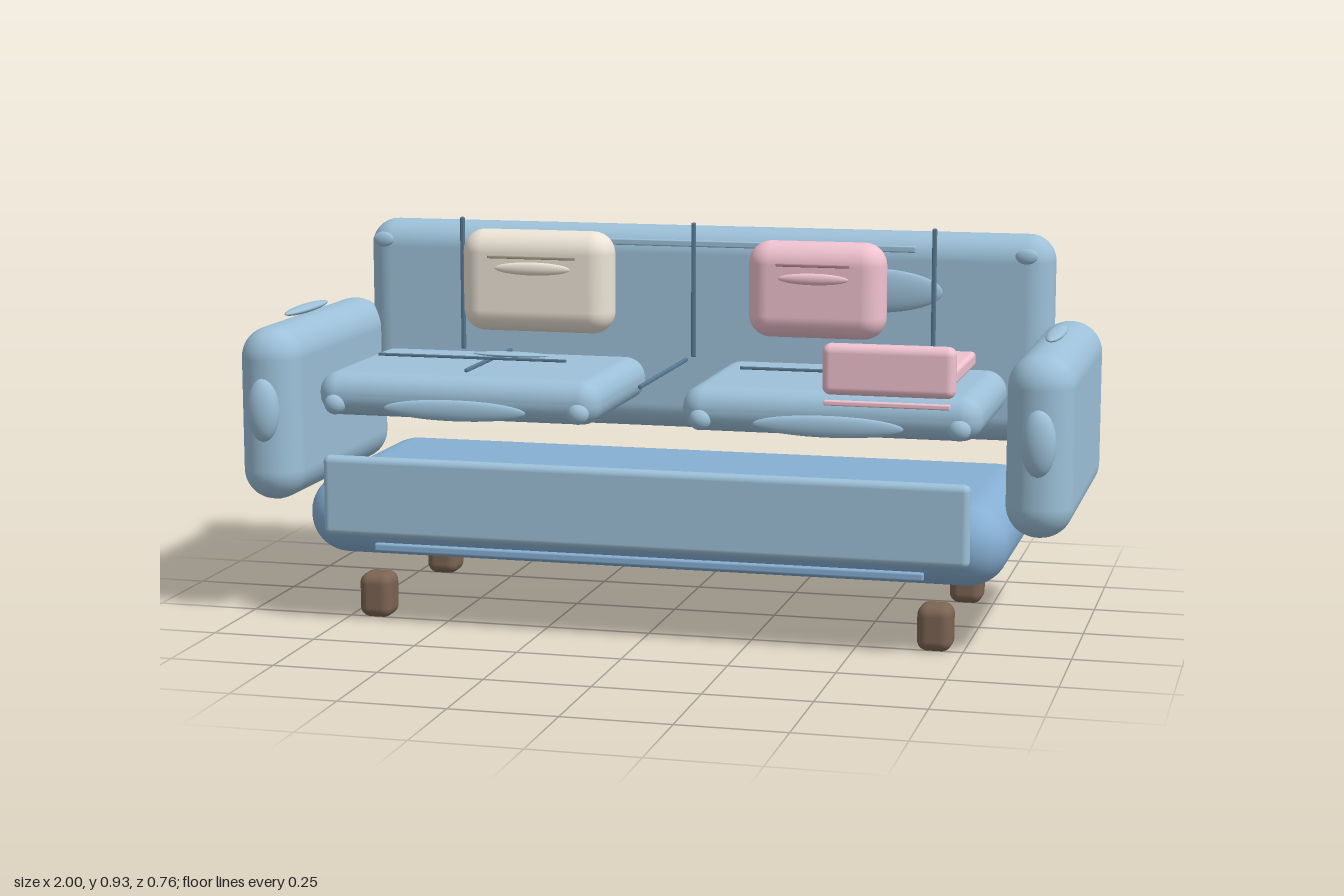
import * as THREE from 'three';
import { RoundedBoxGeometry } from 'three/addons/geometries/RoundedBoxGeometry.js';

const mat = (color) => new THREE.MeshStandardMaterial({ color });

export function createModel() {
  const sofa = new THREE.Group();
  sofa.name = 'sofa';
  const blue = mat(0x9dc1d9), baseBlue = mat(0x86afd3), seam = mat(0x587a94);
  const cream = mat(0xece4d6), creamSeam = mat(0xa89c88);
  const pink = mat(0xf0c2d0), pinkSeam = mat(0xb87f92), wood = mat(0x7b6453);

  const add = (name, geometry, material, x, y, z) => {
    const mesh = new THREE.Mesh(geometry, material);
    mesh.name = name;
    mesh.position.set(x, y, z);
    sofa.add(mesh);
    return mesh;
  };
  // Rounded block given by its limits on each axis
  const block = (name, material, [x0, x1], [y0, y1], [z0, z1], radius) =>
    add(name, new RoundedBoxGeometry(x1 - x0, y1 - y0, z1 - z0, 6, radius), material,
      (x0 + x1) / 2, (y0 + y1) / 2, (z0 + z1) / 2);
  // Ellipsoid given by centre and half sizes
  const pad = (name, material, x, y, z, rx, ry, rz) =>
    add(name, new THREE.SphereGeometry(1, 32, 20), material, x, y, z).scale.set(rx, ry, rz);
  // Thin seam or piping strip
  const strip = (name, material, x, y, z, w, h, d) =>
    add(name, new RoundedBoxGeometry(w, h, d, 2, Math.min(w, h, d) * 0.3), material, x, y, z);

  // Base, backrest and front panel
  block('base', baseBlue, [-0.85, 0.85], [0.155, 0.35], [-0.355, 0.318], 0.096);
  block('backrest', blue, [-0.88, 0.88], [0.402, 0.915], [-0.38, -0.246], 0.066);
  block('frontPanel', blue, [-0.775, 0.775], [0.22, 0.413], [0.327, 0.361], 0.016);
  strip('baseTrim', baseBlue, 0, 0.186, 0.304, 1.33, 0.02, 0.018);

  // Backrest trim and dividing seams
  strip('backRail', blue, 0, 0.88, -0.214, 1.1, 0.016, 0.012);
  for (const x of [-0.6, 0, 0.6]) strip('backSeam', seam, x, 0.767, -0.189, 0.011, 0.335, 0.011);
  strip('seatDivider', seam, 0, 0.604, 0.106, 0.009, 0.009, 0.448);

  for (const side of [-1, 1]) {
    // Arms with their top and front pads
    const arm = side * 0.923;
    block('arm', blue, [arm - 0.077, arm + 0.077], [0.288, 0.709], [-0.349, 0.355], 0.075);
    pad('armTopPad', blue, side * 0.927, 0.724, 0.055, 0.021, 0.01, 0.135);
    pad('armFrontPad', blue, side * 0.925, 0.515, 0.35, 0.04, 0.077, 0.032);

    // Seat cushion with front pad, corner buttons and top seams
    const seat = side * 0.446;
    block('seatCushion', blue, [seat - 0.349, seat + 0.349], [0.505, 0.61], [-0.128, 0.348], 0.05);
    pad('cushionFrontPad', blue, seat, 0.533, 0.349, 0.175, 0.025, 0.011);
    for (const end of [-0.3, 0.3]) pad('cushionButton', blue, seat + end, 0.536, 0.34, 0.026, 0.025, 0.022);
    strip('cushionCrossSeam', seam, seat, 0.64, 0.214, 0.47, 0.007, 0.007);
    strip('cushionLongSeam', seam, seat, 0.615, 0.08, 0.009, 0.009, 0.355);

    // Backrest lumbar pad and corner button
    pad('lumbarPad', blue, side * 0.436, 0.775, -0.23, 0.179, 0.055, 0.015);
    pad('backButton', blue, side * 0.82, 0.87, -0.214, 0.027, 0.019, 0.01);

    // Legs
    for (const z of [0.231, -0.267])
      block('leg', wood, [side * 0.683 - 0.041, side * 0.683 + 0.041], [0, 0.109], [z - 0.041, z + 0.041], 0.025);
  }
  pad('cushionTopPad', blue, -0.364, 0.643, 0.16, 0.095, 0.006, 0.025);

  // Throw pillows with a seam and a small pad each
  block('creamPillow', cream, [-0.568, -0.181], [0.662, 0.915], [-0.166, -0.055], 0.055);
  strip('creamPillowSeam', creamSeam, -0.374, 0.853, -0.039, 0.225, 0.007, 0.007);
  pad('creamPillowPad', cream, -0.374, 0.825, -0.046, 0.097, 0.016, 0.009);
  block('pinkPillow', pink, [0.16, 0.498], [0.67, 0.905], [-0.164, -0.054], 0.055);
  strip('pinkPillowSeam', pinkSeam, 0.33, 0.853, -0.039, 0.18, 0.007, 0.007);
  pad('pinkPillowPad', pink, 0.33, 0.82, -0.045, 0.086, 0.014, 0.009);

  // Folded throw blanket draped over the cushion
  block('blanketTop', pink, [0.427, 0.731], [0.63, 0.666], [-0.008, 0.284], 0.01);
  block('blanketFold', pink, [0.427, 0.733], [0.602, 0.72], [0.288, 0.336], 0.02);
  strip('blanketSeam', pinkSeam, 0.58, 0.672, 0.134, 0.225, 0.006, 0.008);
  strip('blanketHem', pink, 0.58, 0.587, 0.34, 0.29, 0.012, 0.016);
  return sofa;
}
